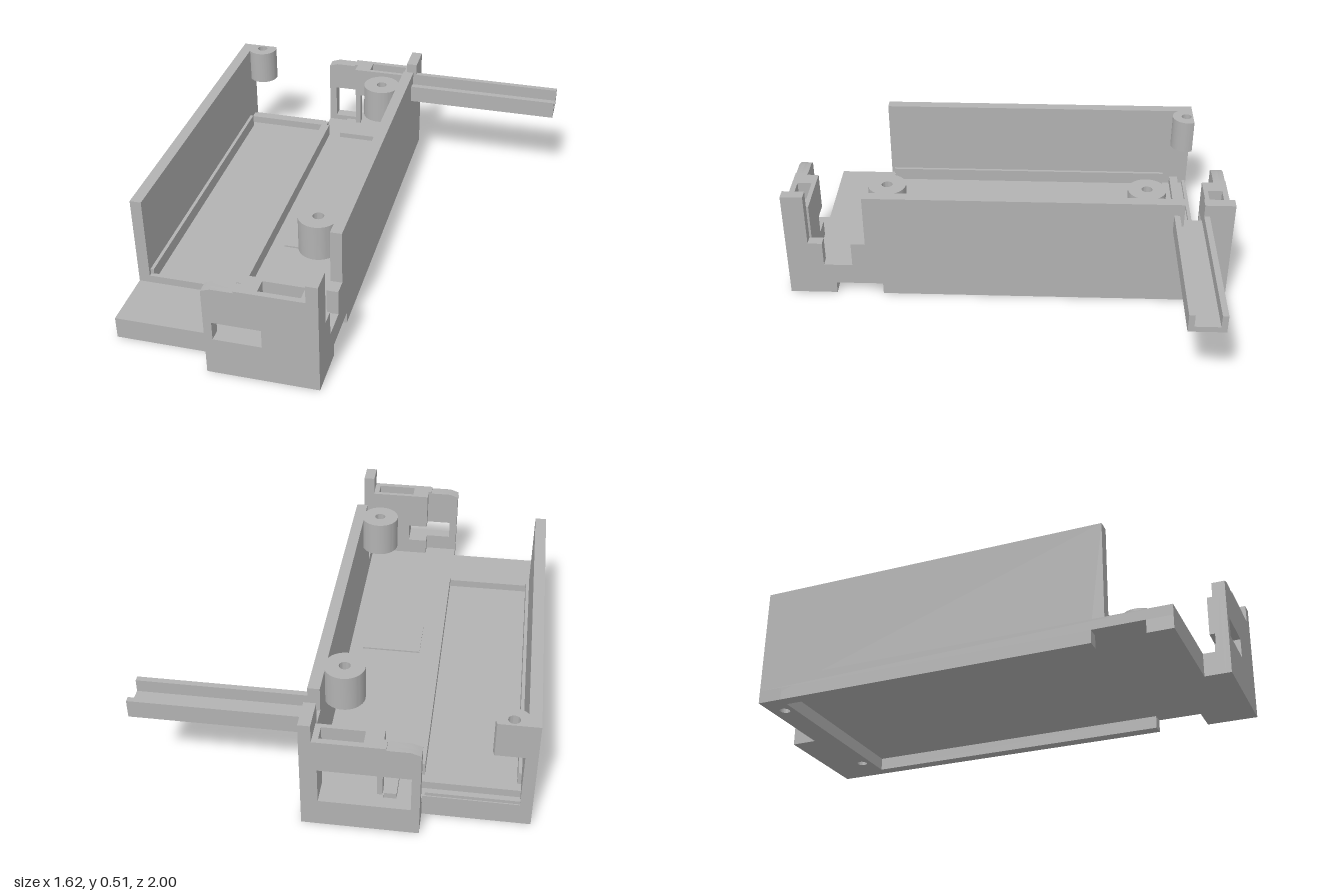
import * as THREE from 'three';
import { toCreasedNormals } from 'three/addons/utils/BufferGeometryUtils.js';

const plastic = new THREE.MeshStandardMaterial({ color: 0xb2b2b2 });
plastic.name = 'grey plastic';

export function createModel() {
  const model = new THREE.Group();
  model.name = 'deviceEnclosure';

  const polygon = (pts) => new THREE.Shape(pts.map(([a, b]) => new THREE.Vector2(a, b)));
  const circle = (a, b, r) => new THREE.Path().absarc(a, b, r, 0, Math.PI * 2, true);
  const extrude = (name, shape, depth) => {
    const g = new THREE.ExtrudeGeometry(shape, { depth, bevelEnabled: false, curveSegments: 24 });
    const mesh = new THREE.Mesh(toCreasedNormals(g, 0.5), plastic);
    mesh.name = name;
    model.add(mesh);
    return mesh;
  };
  // shape drawn in (x, z), filling y0..y1
  const plan = (name, shape, y0, y1) => {
    const m = extrude(name, shape, y1 - y0);
    m.rotation.x = Math.PI / 2;
    m.position.y = y1;
  };
  // shape drawn in (z, y), filling x0..x1
  const side = (name, shape, x0, x1) => {
    const m = extrude(name, shape, x1 - x0);
    m.rotation.y = -Math.PI / 2;
    m.position.x = x1;
  };
  const box = (name, x0, x1, y0, y1, z0, z1) => {
    const m = new THREE.Mesh(new THREE.BoxGeometry(x1 - x0, y1 - y0, z1 - z0), plastic);
    m.position.set((x0 + x1) / 2, (y0 + y1) / 2, (z0 + z1) / 2);
    m.name = name;
    model.add(m);
  };

  // Floor with a shallow recess below it
  box('floor', -0.81, 0.06, 0.055, 0.1, -0.89, 0.89);
  box('frontFoot', -0.81, 0.06, 0, 0.055, 0.785, 0.89);
  box('frontBlockBase', -0.37, 0.06, 0, 0.1, 0.89, 0.95);
  box('backBlockBase', -0.37, 0.06, 0, 0.1, -0.95, -0.89);
  const foot = polygon([[-0.81, -0.89], [0.06, -0.89], [0.06, -0.785], [-0.81, -0.785]]);
  foot.holes.push(circle(-0.05, -0.83, 0.022), circle(-0.705, -0.83, 0.022));
  plan('backFoot', foot, 0, 0.055);

  // Side walls
  side('leftTrayWall', polygon([
    [-0.89, 0], [0.57, 0], [0.57, 0.055], [0.625, 0.055], [0.625, 0.515], [-0.89, 0.515],
  ]), -0.81, -0.76);
  side('notchedWall', polygon([
    [-1, 0], [0.57, 0], [0.57, 0.055], [0.785, 0.055], [0.785, 0], [1, 0],
    [1, 0.515], [0.9, 0.515], [0.9, 0.27], [0.835, 0.27], [0.835, 0.155],
    [0.705, 0.155], [0.705, 0.27], [0.64, 0.27], [0.64, 0.515],
    [-0.78, 0.515], [-0.78, 0.405], [-0.865, 0.405], [-0.865, 0.515], [-1, 0.515],
  ]), 0.055, 0.105);

  // End blocks, layered so the top pocket and the thin wing stay hollow
  const endBlock = (name, s, [wx0, wx1, wy0, wy1]) => {
    const layers = [
      [0.975, 1, false, false], [0.945, 0.975, false, true],
      [0.91, 0.945, true, true], [0.89, 0.91, true, false],
    ];
    layers.forEach(([z0, z1, short, pocket]) => {
      const pts = [[0.055, 0], [0.055, 0.435]];
      if (pocket) pts.push([0.03, 0.435], [0.03, 0.35], [-0.145, 0.35], [-0.145, 0.435]);
      if (short) {
        pts.push([-0.22, 0.435], [-0.22, wy1], [wx1, wy1], [wx1, wy0], [-0.22, wy0], [-0.22, 0]);
      } else {
        pts.push([-0.235, 0.435], [-0.235, 0.427], [-0.33, 0.427], [-0.37, 0.413], [-0.37, 0]);
      }
      const shape = polygon(pts);
      if (!short) shape.holes.push(polygon([[wx0, wy0], [wx0, wy1], [wx1, wy1], [wx1, wy0]]));
      extrude(name, shape, z1 - z0).position.z = s > 0 ? z0 : -z1;
    });
  };
  endBlock('frontBlock', 1, [-0.335, -0.13, 0.175, 0.26]);
  endBlock('backBlock', -1, [-0.335, 0.035, 0.125, 0.29]);
  box('windowPost', -0.215, -0.193, 0.1, 0.3, -0.93, -0.89);

  // Screw bosses
  const wallArc = Math.acos(0.075 / 0.085);
  for (const z of [-0.62, 0.54]) {
    const boss = new THREE.Shape().absarc(-0.02, z, 0.085, wallArc, Math.PI * 2 - wallArc, false);
    boss.holes.push(circle(-0.02, z, 0.024));
    plan('screwBoss', boss, 0.355, 0.515);
  }
  const cut = Math.asin(0.03 / 0.07);
  const cornerBoss = new THREE.Shape().absarc(-0.705, -0.86, 0.07, -cut, Math.PI + cut, false);
  cornerBoss.holes.push(circle(-0.705, -0.857, 0.024));
  plan('cornerBoss', cornerBoss, 0.355, 0.515);

  // Tray ledges
  box('outerLedge', -0.76, -0.745, 0.1, 0.16, -0.77, 0.61);
  box('innerLedge', -0.37, -0.33, 0.1, 0.16, -0.77, 0.61);
  box('frontLip', -0.76, -0.37, 0.1, 0.135, 0.605, 0.625);
  box('backLip', -0.76, -0.355, 0.1, 0.135, -0.845, -0.805);
  box('backSill', -0.76, -0.38, 0.1, 0.115, -0.885, -0.87);

  // Low pads on the floor
  box('floorPad', -0.27, -0.005, 0.1, 0.107, 0.035, 0.235);
  box('portPad', -0.27, -0.015, 0.1, 0.125, -0.92, -0.765);

  // Cable channel
  side('cableChannel', polygon([
    [-0.89, 0.38], [-0.735, 0.38], [-0.735, 0.46], [-0.76, 0.46],
    [-0.76, 0.405], [-0.865, 0.405], [-0.865, 0.46], [-0.89, 0.46],
  ]), 0.1, 0.81);

  return model;
}
